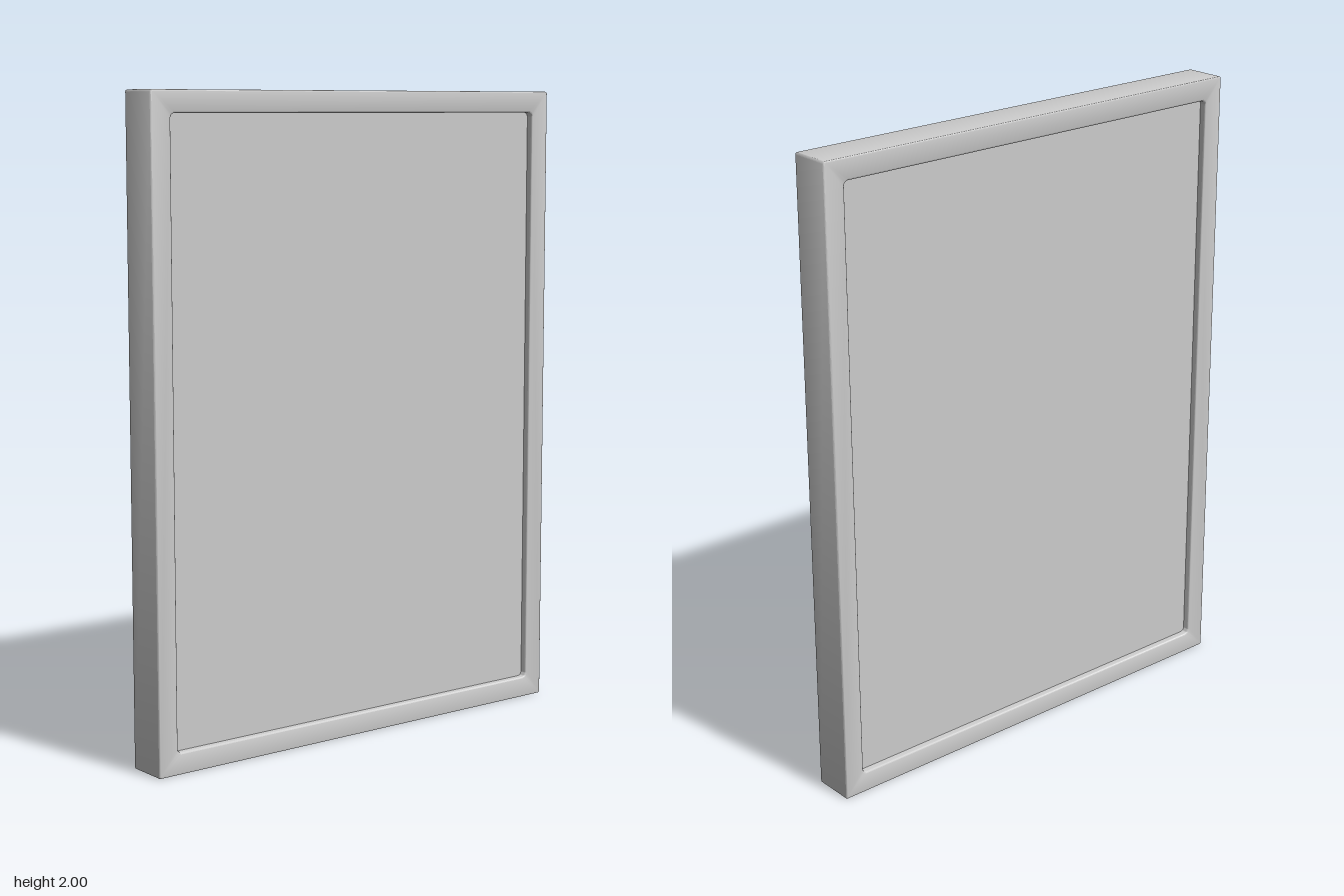
import * as THREE from 'three';
import { toCreasedNormals } from 'three/addons/utils/BufferGeometryUtils.js';

const HEIGHT = 2, WIDTH = 1.53, DEPTH = 0.134;
const BORDER = 0.067, RECESS = 0.022, BEVEL = 0.005;

// Traces a rounded rectangle centred on the origin
function roundedRect(path, w, h, r) {
  const x = w / 2, y = h / 2;
  path.moveTo(-x + r, -y);
  path.lineTo(x - r, -y);
  path.absarc(x - r, -y + r, r, -Math.PI / 2, 0);
  path.lineTo(x, y - r);
  path.absarc(x - r, y - r, r, 0, Math.PI / 2);
  path.lineTo(-x + r, y);
  path.absarc(-x + r, y - r, r, Math.PI / 2, Math.PI);
  path.lineTo(-x, -y + r);
  path.absarc(-x + r, -y + r, r, Math.PI, Math.PI * 1.5);
  return path;
}

export function createModel() {
  const group = new THREE.Group();
  group.name = 'framedPanel';
  const material = new THREE.MeshStandardMaterial({ color: 0xcccccc });
  const openW = WIDTH - 2 * BORDER, openH = HEIGHT - 2 * BORDER;

  // Border with softened edges, open in the middle
  const outline = roundedRect(new THREE.Shape(), WIDTH, HEIGHT, 0.007);
  outline.holes.push(roundedRect(new THREE.Path(), openW, openH, 0.014));
  const frameGeometry = new THREE.ExtrudeGeometry(outline, {
    depth: DEPTH - 2 * BEVEL,
    bevelThickness: BEVEL,
    bevelSize: BEVEL,
    bevelOffset: -BEVEL,
    bevelSegments: 3,
    curveSegments: 4,
  });
  frameGeometry.translate(0, 0, BEVEL - DEPTH / 2);
  frameGeometry.rotateY(Math.PI / 2);
  const frame = new THREE.Mesh(toCreasedNormals(frameGeometry, 0.7), material);
  frame.name = 'frame';
  frame.position.y = HEIGHT / 2;
  group.add(frame);

  // Flat panel, recessed on both sides, its rim tucked into the border
  const panel = new THREE.Mesh(
    new THREE.BoxGeometry(DEPTH - 2 * RECESS, openH + 0.02, openW + 0.02), material);
  panel.name = 'panel';
  panel.position.y = HEIGHT / 2;
  group.add(panel);

  return group;
}
